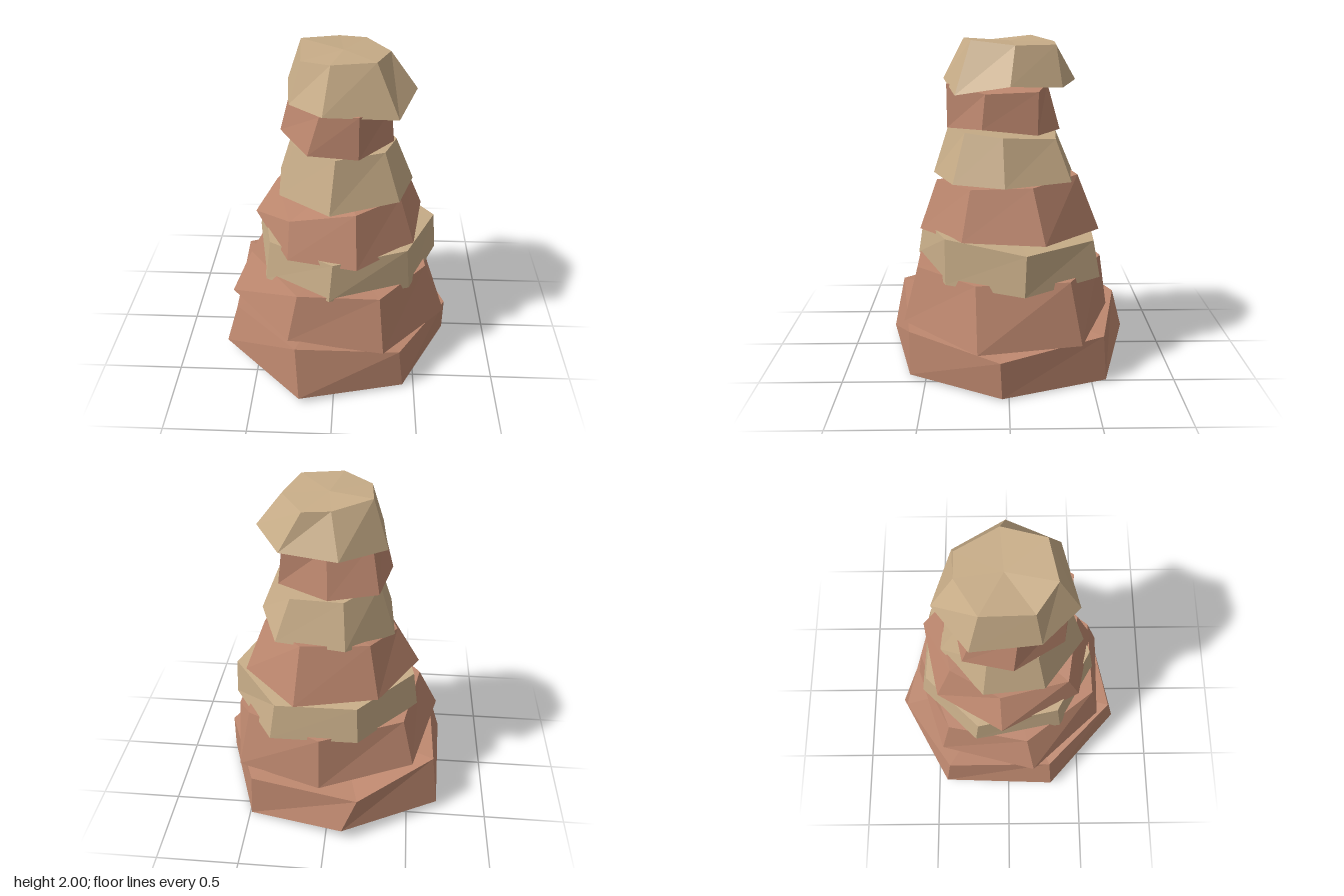
import * as THREE from 'three';

const middle = (ring) => [0, 1, 2].map((k) => ring.reduce((sum, p) => sum + p[k], 0) / ring.length);

// One rough stone: side walls between a foot ring and a top ring, closed by two fans
function slabGeometry(foot, top) {
  const lowMid = middle(foot);
  const highMid = middle(top);
  const verts = [];
  for (let i = 0; i < foot.length; i++) {
    const j = (i + 1) % foot.length;
    verts.push(
      ...foot[i], ...top[i], ...foot[j],
      ...top[i], ...top[j], ...foot[j],
      ...highMid, ...top[j], ...top[i],
      ...lowMid, ...foot[i], ...foot[j],
    );
  }
  const geometry = new THREE.BufferGeometry();
  geometry.setAttribute('position', new THREE.Float32BufferAttribute(verts, 3));
  geometry.computeVertexNormals();
  return geometry;
}

export function createModel() {
  const clay = new THREE.MeshStandardMaterial({ color: 0xbe886f, flatShading: true });
  clay.name = 'clay stone';
  const sand = new THREE.MeshStandardMaterial({ color: 0xc8ad88, flatShading: true });
  sand.name = 'sand stone';

  const model = new THREE.Group();
  model.name = 'stoneStack';
  const addStone = (name, material, foot, top) => {
    const mesh = new THREE.Mesh(slabGeometry(foot, top), material);
    mesh.name = name;
    model.add(mesh);
  };

  // Stones from the ground up: foot corners, then top corners
  addStone('baseStone', clay,
    [[0.72, 0.01, 0.04], [0.43, 0.01, 0.6], [-0.21, 0.035, 0.77], [-0.72, 0.07, 0.3],
      [-0.69, 0.05, -0.44], [-0.1, 0.08, -0.77], [0.49, 0, -0.59]],
    [[0.72, 0.235, 0.05], [0.4, 0.28, 0.6], [-0.23, 0.375, 0.7], [-0.64, 0.345, 0.28],
      [-0.65, 0.38, -0.4], [-0.19, 0.29, -0.72], [0.48, 0.28, -0.57]]);

  addStone('secondStone', clay,
    [[0.7, 0.275, 0.18], [0.3, 0.305, 0.64], [-0.28, 0.37, 0.62], [-0.68, 0.39, 0.17],
      [-0.52, 0.37, -0.45], [0.05, 0.305, -0.64], [0.58, 0.27, -0.43]],
    [[0.56, 0.64, 0.19], [0.27, 0.65, 0.55], [-0.22, 0.665, 0.56], [-0.55, 0.67, 0.12],
      [-0.45, 0.66, -0.39], [0.05, 0.64, -0.59], [0.51, 0.64, -0.36]]);

  addStone('thirdStone', sand,
    [[0.45, 0.605, 0.37], [-0.03, 0.64, 0.57], [-0.43, 0.625, 0.34], [-0.53, 0.67, -0.21],
      [-0.18, 0.63, -0.57], [0.35, 0.61, -0.55], [0.64, 0.6, -0.09]],
    [[0.43, 0.88, 0.37], [-0.01, 0.875, 0.53], [-0.4, 0.88, 0.31], [-0.5, 0.88, -0.19],
      [-0.17, 0.85, -0.53], [0.32, 0.83, -0.51], [0.62, 0.84, -0.1]]);

  addStone('fourthStone', clay,
    [[0.47, 0.87, 0.27], [0.13, 0.85, 0.54], [-0.28, 0.85, 0.45], [-0.53, 0.88, -0.04],
      [-0.29, 0.87, -0.45], [0.2, 0.865, -0.555], [0.54, 0.87, -0.21]],
    [[0.38, 0.16 + 1, 0.22], [0.12, 1.16, 0.43], [-0.27, 1.07, 0.37], [-0.385, 1.115, -0.05],
      [-0.23, 1.18, -0.35], [0.17, 1.2, -0.42], [0.42, 1.18, -0.14]]);

  addStone('fifthStone', sand,
    [[0.46, 1.185, 0.02], [0.37, 1.19, 0.32], [-0.03, 1.17, 0.46], [-0.34, 1.16, 0.22],
      [-0.37, 1.14, -0.15], [-0.09, 1.17, -0.41], [0.32, 1.19, -0.37]],
    [[0.35, 1.455, 0.03], [0.28, 1.475, 0.25], [0, 1.475, 0.36], [-0.25, 1.465, 0.17],
      [-0.27, 1.46, -0.12], [-0.07, 1.43, -0.3], [0.24, 1.43, -0.28]]);

  addStone('sixthStone', clay,
    [[0.33, 1.5, 0.15], [0.13, 1.48, 0.36], [-0.16, 1.48, 0.32], [-0.34, 1.5, 0.03],
      [-0.27, 1.47, -0.26], [0.02, 1.45, -0.32], [0.32, 1.465, -0.17]],
    [[0.31, 1.7, 0.13], [0.13, 1.74, 0.36], [-0.09, 1.72, 0.32], [-0.27, 1.765, 0.05],
      [-0.22, 1.75, -0.18], [0.03, 1.73, -0.24], [0.29, 1.71, -0.175]]);

  addStone('capStone', sand,
    [[0.46, 1.76, -0.01], [0.35, 1.7, 0.3], [-0.07, 1.75, 0.39], [-0.27, 1.73, 0.18],
      [-0.31, 1.73, -0.21], [-0.05, 1.745, -0.415], [0.29, 1.735, -0.31]],
    [[0.3, 1.97, -0.04], [0.22, 1.995, 0.21], [-0.03, 1.995, 0.26], [-0.2, 1.97, 0.14],
      [-0.22, 2, -0.15], [0, 1.975, -0.28], [0.16, 1.965, -0.28]]);

  return model;
}
